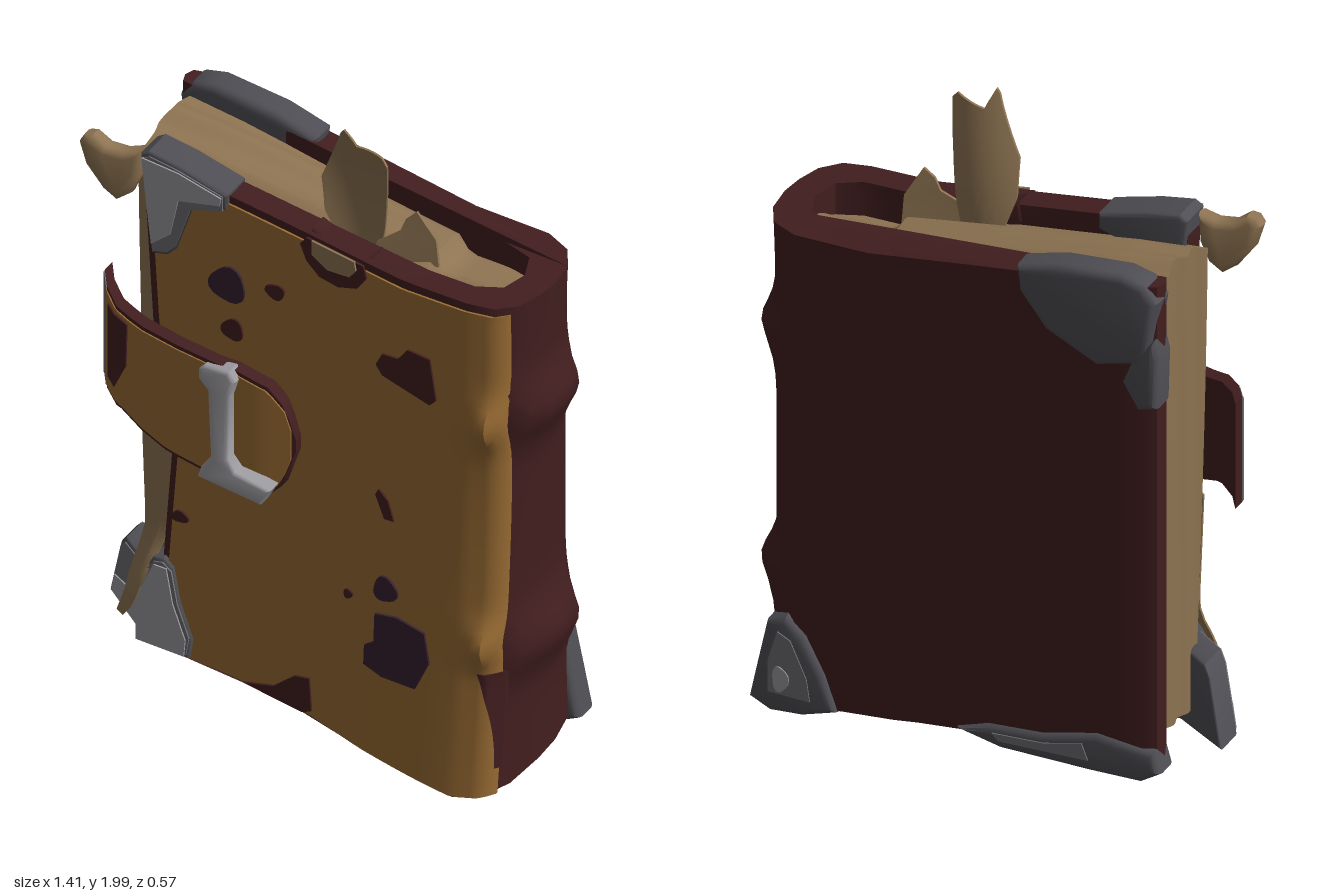
import * as THREE from 'three';
import { toCreasedNormals } from 'three/addons/utils/BufferGeometryUtils.js';

const { lerp, smoothstep, clamp } = THREE.MathUtils;

const mat = (name, color, side = THREE.FrontSide) => {
  const m = new THREE.MeshStandardMaterial({ color, side });
  m.name = name;
  return m;
};

// piecewise linear function through a few [input, output] knots
const knots = (pts) => (v) => {
  if (v <= pts[0][0]) return pts[0][1];
  for (let i = 1; i < pts.length; i++) {
    const [a, b] = [pts[i - 1], pts[i]];
    if (v <= b[0]) return lerp(a[1], b[1], (v - a[0]) / (b[0] - a[0]));
  }
  return pts[pts.length - 1][1];
};

// silhouette of the sagging book
const topY = knots([[-0.6, 1.745], [-0.4, 1.72], [0, 1.65], [0.3, 1.595], [0.66, 1.58]]);
const botY = knots([[-0.7, 0.15], [-0.2, 0.1], [0, 0.08], [0.2, 0.04], [0.5, 0.0], [0.66, 0.02]]);
const leftX = knots([[0.1, -0.52], [0.4, -0.46], [0.8, -0.43], [1.2, -0.49], [1.7, -0.52]]);
const roundZ = knots([[0.5, 0.165], [0.58, 0.15], [0.63, 0.09]]);
const bulge = (x, y) => (0.085 * Math.max(0, 1 - y) ** 1.5 + 0.008) * smoothstep(x, -0.3, 0.5);
const frontZ = (x, y) => roundZ(x) + bulge(x, y);
const backZ = (x) => lerp(-0.275, -0.245, clamp((x + 0.6) / 1.1, 0, 1));
const lift = (z) => 0.07 * clamp((0.165 - z) / 0.3, 0, 1);
const hump = (v, mid, width) => Math.exp(-(((v - mid) / width) ** 2));
const band = (y) => hump(y, 1.21, 0.09) + hump(y, 0.45, 0.09);

// move every vertex by a rule, then recompute normals with sharp creases
function warp(geo, rule, crease = 0.7) {
  const p = geo.attributes.position;
  for (let i = 0; i < p.count; i++) p.setXYZ(i, ...rule(p.getX(i), p.getY(i), p.getZ(i)));
  geo.computeVertexNormals();
  return toCreasedNormals(geo, crease);
}

// flat outline extruded from z0 to z1, then bent along zAt
function plate(pts, z0, z1, zAt, bevel = 0) {
  const shape = new THREE.Shape(pts.map(([x, y]) => new THREE.Vector2(x, y)));
  const geo = new THREE.ExtrudeGeometry(shape, {
    depth: z1 - z0 - 2 * bevel, bevelEnabled: bevel > 0, bevelSize: bevel,
    bevelThickness: bevel, bevelOffset: -bevel, bevelSegments: 3,
  });
  return warp(geo, (x, y, z) => [x, y, z + z0 + bevel + zAt(x, y)]);
}

// grid panel: at(u, v) gives [x, y], thickness between z0 and z1 above zAt
function sheet(at, z0, z1, zAt, n = 24) {
  return warp(new THREE.BoxGeometry(1, 1, 1, n, n, 1), (u, v, w) => {
    const [x, y] = at(u + 0.5, v + 0.5);
    return [x, y, zAt(x, y) + (w > 0 ? z1 : z0)];
  });
}

const blob = (cx, cy, rx, ry = rx, n = 18) => Array.from({ length: n }, (_, i) => {
  const a = (i / n) * Math.PI * 2, k = 1 + 0.1 * Math.sin(a * 3 + cx * 9);
  return [cx + rx * k * Math.cos(a), cy + ry * k * Math.sin(a)];
});

export function createModel() {
  const book = new THREE.Group();
  book.name = 'oldBook';
  const leather = mat('dark red leather', 0x421e1f);
  const ochre = mat('ochre leather', 0x976a32);
  const stain = mat('purple stain', 0x36212e);
  const paper = mat('paper', 0x8e7452, THREE.DoubleSide);
  const metal = mat('light metal', 0x9c9ba0);
  const dull = mat('dull metal', 0x6e6e73);
  const worn = mat('dark metal', 0x4e4e54);
  const add = (name, geo, material) => {
    const m = new THREE.Mesh(geo, material);
    m.name = name;
    book.add(m);
  };

  // cover: U-shaped section wrapped round the spine
  const section = [[-0.5, 0.165], [0.5, 0.165], [0.58, 0.15], [0.63, 0.1], [0.652, 0.03], [0.66, -0.04], [0.65, -0.13],
    [0.61, -0.2], [0.53, -0.24], [-0.56, -0.275], [-0.6, -0.26], [-0.61, -0.23], [-0.6, -0.2], [0.45, -0.14],
    [0.54, -0.11], [0.57, -0.03], [0.55, 0.05], [0.48, 0.085], [-0.5, 0.085]];
  const outline = [];
  section.forEach(([x, z], i) => {
    const [x2, z2] = section[(i + 1) % section.length];
    const n = Math.abs(x2 - x) > 0.5 ? 14 : 1;
    for (let k = 0; k < n; k++) outline.push(new THREE.Vector2(lerp(x, x2, k / n), -lerp(z, z2, k / n)));
  });
  const wrap = new THREE.ExtrudeGeometry(new THREE.Shape(outline), { depth: 1, steps: 40, bevelEnabled: false });
  wrap.rotateX(-Math.PI / 2);
  add('cover', warp(wrap, (x, t, z) => {
    const y = lerp(botY(x) + lift(z), topY(x), t);
    const edge = z > 0.05 ? (leftX(y) + 0.5) * (1 - smoothstep(x, -0.5, -0.2)) : 0;
    const spine = smoothstep(x, 0.59, 0.64) * (0.05 * band(y) - 0.02 * Math.sin(Math.PI * t));
    return [x + edge + spine, y, z + bulge(x, y) * smoothstep(z, 0, 0.16)];
  }), leather);

  // ochre face of the front cover, swelling over the spine bands
  const faceZ = (x, y) => frontZ(x, y) + hump(x, 0.57, 0.055) * (0.045 * hump(y, 1.2, 0.07) + 0.04 * hump(y, 0.49, 0.06));
  add('frontFace', sheet((u, v) => {
    const x = lerp(leftX(lerp(0.1, 1.7, v)) + 0.022, 0.612, u);
    return [x, lerp(botY(x) + 0.004, topY(x) - 0.025, v)];
  }, -0.002, 0.007, faceZ, 56), ochre);

  // stains and scuffs on the front face
  const redMarks = [blob(-0.1, 1.43, 0.03, 0.024), blob(-0.235, 1.26, 0.034), blob(-0.4, 0.585, 0.026, 0.018),
    blob(0.14, 0.52, 0.014), [[0.22, 0.87], [0.25, 0.8], [0.28, 0.8], [0.26, 0.86], [0.23, 0.89]],
    [[0.22, 1.3], [0.24, 1.27], [0.39, 1.22], [0.41, 1.24], [0.39, 1.37], [0.32, 1.38], [0.29, 1.34], [0.24, 1.34]],
    [[-0.2, 0.105], [0, 0.085], [0.03, 0.1], [0.02, 0.2], [-0.03, 0.19], [-0.1, 0.13]],
    [[-0.02, 1.62], [0.0, 1.57], [0.04, 1.53], [0.1, 1.515], [0.16, 1.53], [0.19, 1.57], [0.18, 1.61], [0, 1.645]]];
  redMarks.forEach((p) => add('scuff', plate(p, 0.006, 0.014, frontZ), leather));
  for (const p of [blob(-0.25, 1.405, 0.056), blob(0.26, 0.575, 0.038),
    [[0.2, 0.32], [0.26, 0.3], [0.37, 0.3], [0.41, 0.39], [0.39, 0.48], [0.3, 0.5], [0.23, 0.49], [0.23, 0.4], [0.2, 0.38]]])
    add('inkStain', plate(p, 0.008, 0.016, frontZ), stain);
  add('spineScuff', sheet((u, v) => [lerp(0.606 - 0.05 * v * v, 0.622, u), lerp(0.1, 0.4, v)], 0.003, 0.011, faceZ, 12), leather);
  add('paperShred', plate([[0.02, 1.6], [0.07, 1.565], [0.14, 1.565], [0.16, 1.59], [0.155, 1.62], [0.02, 1.645]],
    0.013, 0.021, frontZ), paper);

  // page block with gentle waves and a lowered top beside the spine
  add('pages', warp(new THREE.BoxGeometry(1, 1, 1, 40, 20, 20), (u, v, w) => {
    const x0 = lerp(-0.575, 0.59, u + 0.5);
    const z = lerp(lerp(-0.205, -0.15, u + 0.5), 0.09, w + 0.5);
    const ripple = 0.006 * Math.sin(z * 55 + v * 3 + u * 2);
    const fore = (1 - smoothstep(x0, -0.57, -0.45)) * (ripple + 0.03 * (w + 0.5) * (0.5 - v));
    const top = topY(x0) - 0.055 - 0.05 * smoothstep(x0, 0.3, 0.34) + ripple + 0.04 * Math.cos((w + 0.1) * 3);
    return [x0 + fore, lerp(botY(x0) + lift(z) + 0.03, top, v + 0.5), z];
  }), paper);
  add('looseLeaf', sheet((u, v) => {
    const y = lerp(0.2, 0.86, v);
    const l = knots([[0.2, -0.61], [0.3, -0.57], [0.5, -0.54], [0.86, -0.56]])(y);
    const r = knots([[0.2, -0.58], [0.27, -0.53], [0.45, -0.47], [0.65, -0.43], [0.86, -0.41]])(y);
    return [lerp(l, r, u), y];
  }, -0.004, 0.004, (x, y) => 0.14 + 0.6 * Math.min(0, x + 0.5) + 0.08 * smoothstep(0.5 - y, 0, 0.2), 14), paper);

  // torn leaves rising from the top
  const leafZ = (x, y) => 0.035 + 0.5 * Math.max(0, y - 1.6) ** 2 + 3 * (x - 0.11) ** 2;
  const leafTip = knots([[0, 1.8], [0.28, 2], [0.45, 1.93], [0.9, 1.94], [1, 1.92]]);
  const leafLeft = knots([[1.55, 0.04], [1.68, 0], [1.8, 0], [2, 0.02]]);
  const leafRight = knots([[1.55, 0.15], [1.65, 0.175], [1.78, 0.195], [1.95, 0.23]]);
  add('tornLeaf', sheet((u, v) => {
    const y = lerp(1.55, leafTip(u), v);
    return [lerp(leafLeft(y), leafRight(y), u), y];
  }, -0.004, 0.004, leafZ, 20), paper);
  add('smallTornLeaf', plate([[0.14, 1.55], [0.32, 1.55], [0.315, 1.64], [0.265, 1.73], [0.235, 1.7], [0.22, 1.66], [0.16, 1.62]],
    0.07, 0.078, (x, y) => 0.35 * (x - 0.2) * (y - 1.5) - 0.4 * (x - 0.14)), paper);
  add('leafRoot', plate([[-0.01, 1.6], [0.03, 1.56], [0.17, 1.56], [0.19, 1.62], [0.1, 1.61], [0.0, 1.66]], 0.08, 0.15, () => 0, 0.01), leather);

  // curled paper scrap at the top outer corner
  add('curledScrap', plate([[-0.71, 1.74], [-0.695, 1.765], [-0.67, 1.77], [-0.63, 1.74], [-0.58, 1.735], [-0.53, 1.75],
    [-0.535, 1.66], [-0.56, 1.6], [-0.6, 1.57], [-0.64, 1.6], [-0.69, 1.67]], 0.13, 0.19, (x) => -0.15 * (x + 0.62), 0.022), paper);

  // strap folded round the fore-edge, arching under the buckle
  const strapTop = knots([[-0.7, 1.24], [-0.55, 1.21], [-0.2, 1.175], [-0.1, 1.14], [-0.05, 1.08], [-0.02, 0.98]]);
  const strapBot = knots([[-0.7, 0.9], [-0.58, 0.89], [-0.42, 0.83], [-0.1, 0.78], [-0.06, 0.82], [-0.02, 0.94]]);
  const strapZ = knots([[-0.7, 0.04], [-0.66, 0.1], [-0.6, 0.155], [-0.5, 0.19], [-0.38, 0.208], [-0.25, 0.218], [-0.12, 0.205], [-0.02, 0.182]]);
  const strap = (x0, x1, inset) => (u, v) => {
    const x = lerp(x0, x1, u);
    return [x, lerp(strapBot(x) + inset, strapTop(x) - inset, v)];
  };
  add('strap', sheet(strap(-0.7, -0.02, 0), -0.02, 0.022, strapZ, 34), leather);
  add('strapFace', sheet(strap(-0.665, -0.032, 0.012), 0.018, 0.027, strapZ, 34), ochre);
  add('strapEnd', sheet(strap(-0.702, -0.665, 0.004), 0.018, 0.027, strapZ, 6), dull);
  add('strapScuff', plate([[-0.64, 0.96], [-0.6, 0.96], [-0.555, 1.05], [-0.55, 1.19], [-0.6, 1.2], [-0.64, 1.2]],
    0.03, 0.037, strapZ), leather);
  const bar = [[-0.295, 1.16], [-0.28, 1.175], [-0.2, 1.18], [-0.18, 1.15], [-0.195, 1.1], [-0.195, 0.9], [-0.17, 0.865],
    [-0.06, 0.84], [-0.09, 0.785], [-0.29, 0.815], [-0.28, 0.85], [-0.25, 0.89], [-0.265, 1.1], [-0.295, 1.13]];
  add('buckle', plate(bar, 0.205, 0.265, (x, y) => 0.05 * (1.17 - y), 0.012), metal);

  // front corner guards: dark body, dull rim and light face, with a wing bent round the fore-edge
  const flat = () => 0;
  const bend = (x) => 0.7 * Math.min(0, x + 0.5);
  const guard = (name, body, face, z1, zAt) => {
    add(name, plate(body, 0.07, z1, zAt, 0.012), worn);
    const mid = [0, 1].map((k) => body.reduce((s, p) => s + p[k], 0) / body.length);
    add(name + 'Rim', plate(body.map((p) => p.map((c, k) => lerp(mid[k], c, 0.92))), z1 - 0.002, z1 + 0.004, zAt), dull);
    add(name + 'Face', plate(face, z1 + 0.002, z1 + 0.009, zAt), metal);
  };
  guard('topGuard', [[-0.525, 1.75], [-0.5, 1.765], [-0.4, 1.745], [-0.25, 1.7], [-0.25, 1.65], [-0.36, 1.62], [-0.41, 1.47],
    [-0.44, 1.44], [-0.49, 1.43], [-0.51, 1.6]], [[-0.515, 1.745], [-0.4, 1.73], [-0.265, 1.69], [-0.27, 1.665], [-0.4, 1.64],
    [-0.425, 1.52], [-0.485, 1.47], [-0.5, 1.6]], 0.18, flat);
  guard('guardWing', [[-0.7, 0.165], [-0.5, 0.135], [-0.5, 0.38], [-0.62, 0.39], [-0.645, 0.36]],
    [[-0.685, 0.178], [-0.51, 0.15], [-0.51, 0.24], [-0.6, 0.25], [-0.67, 0.24]], 0.175, bend);
  guard('bottomGuard', [[-0.53, 0.135], [-0.37, 0.125], [-0.36, 0.19], [-0.4, 0.3], [-0.42, 0.41], [-0.45, 0.435],
    [-0.48, 0.43], [-0.53, 0.36]], [[-0.53, 0.148], [-0.38, 0.138], [-0.375, 0.19], [-0.415, 0.3], [-0.435, 0.41], [-0.475, 0.412],
    [-0.53, 0.29]], 0.185, flat);

  // back guards with rubbed spots
  const backGuards = [
    [[-0.61, 1.7], [-0.57, 1.75], [-0.5, 1.765], [-0.3, 1.74], [-0.17, 1.7], [-0.18, 1.62], [-0.26, 1.52], [-0.42, 1.45], [-0.58, 1.5]],
    [[-0.615, 1.52], [-0.6, 1.58], [-0.54, 1.52], [-0.5, 1.42], [-0.55, 1.34], [-0.61, 1.36]],
    [[0.665, 0.06], [0.6, 0.03], [0.5, 0.04], [0.39, 0.08], [0.43, 0.19], [0.49, 0.3], [0.55, 0.35], [0.61, 0.32], [0.64, 0.18]],
    [[-0.62, 0.18], [-0.56, 0.14], [-0.4, 0.13], [-0.12, 0.12], [0.02, 0.15], [-0.08, 0.19], [-0.25, 0.21], [-0.42, 0.26], [-0.6, 0.25]],
  ];
  backGuards.forEach((g) => add('backGuard', plate(g, -0.014, 0.085, backZ, 0.024), worn));
  add('rubbedSpot', plate([[0.6, 0.1], [0.47, 0.1], [0.48, 0.17], [0.53, 0.28], [0.57, 0.3], [0.6, 0.2]], -0.018, -0.01, backZ), dull);
  add('rubbedSpot', plate(blob(0.56, 0.15, 0.025, 0.04), -0.022, -0.014, backZ), metal);
  add('rubbedSpot', plate([[-0.4, 0.17], [-0.12, 0.15], [-0.1, 0.17], [-0.26, 0.185], [-0.38, 0.22]], -0.018, -0.01, backZ), dull);

  return book;
}
